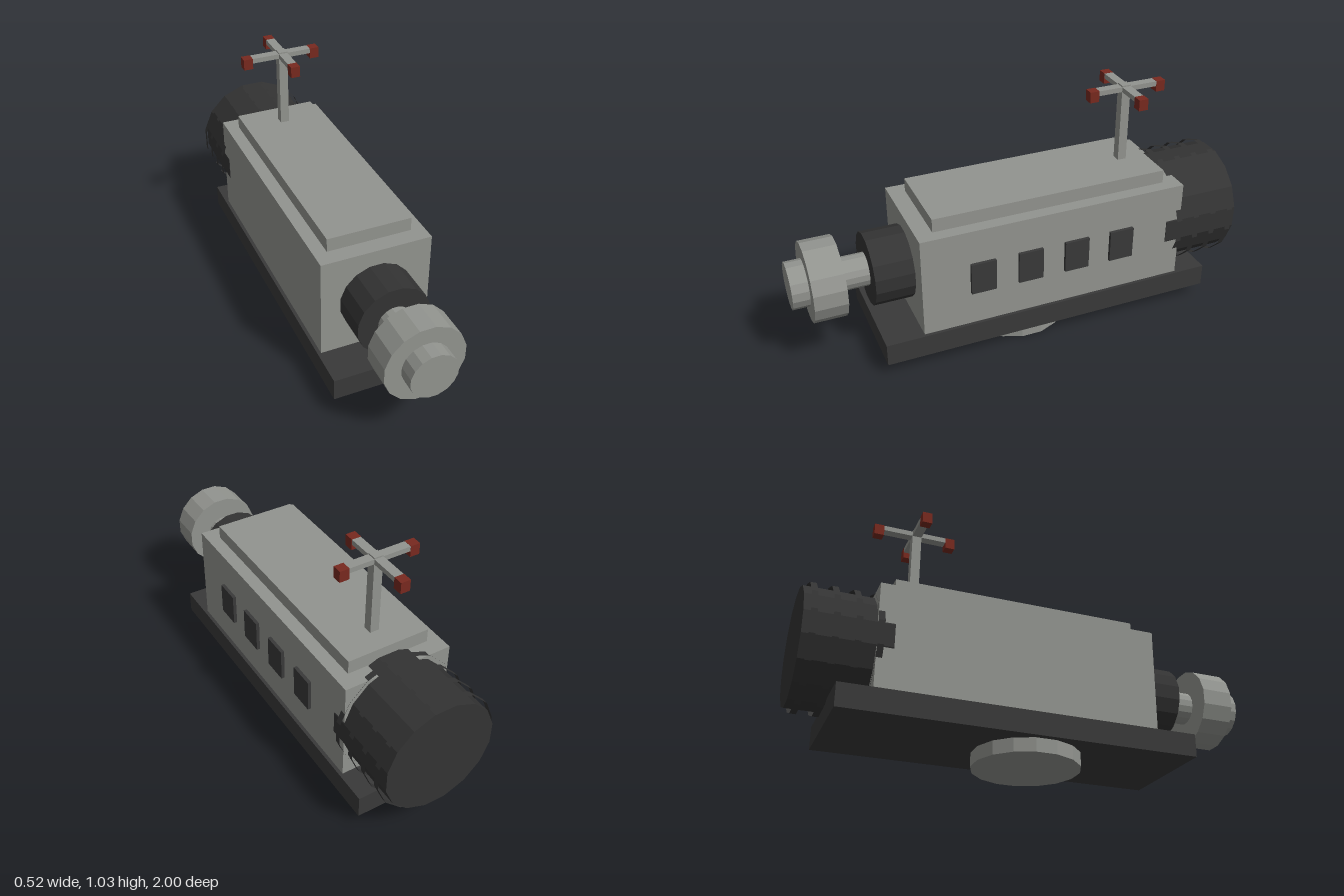
import * as THREE from 'three';

export function createModel() {
  const model = new THREE.Group();
  const paint = (name, color, side = THREE.FrontSide) => {
    const m = new THREE.MeshStandardMaterial({ color, side, flatShading: true });
    m.name = name;
    return m;
  };
  const grey = paint('hull grey', 0x92948f);
  const dark = paint('dark grey', 0x393939);
  const black = paint('charcoal', 0x333333, THREE.DoubleSide);
  const red = paint('dull red', 0x78291f);

  // Box given by its limits on each axis
  const box = (name, mat, [x0, x1], [y0, y1], [z0, z1]) => {
    const mesh = new THREE.Mesh(new THREE.BoxGeometry(x1 - x0, y1 - y0, z1 - z0), mat);
    mesh.position.set((x0 + x1) / 2, (y0 + y1) / 2, (z0 + z1) / 2);
    mesh.name = name;
    model.add(mesh);
  };

  // 16-sided drum with flats facing the axes; r is measured to the flats
  const SIDES = 16;
  const drumGeometry = (r, length, open) => {
    const R = r / Math.cos(Math.PI / SIDES);
    return new THREE.CylinderGeometry(R, R, length, SIDES, 1, open).rotateY(Math.PI / SIDES);
  };
  const drum = (name, mat, r, y, z0, z1, open = false) => {
    const mesh = new THREE.Mesh(drumGeometry(r, z1 - z0, open).rotateX(Math.PI / 2), mat);
    mesh.position.set(0, y, (z0 + z1) / 2);
    mesh.name = name;
    model.add(mesh);
  };

  // Foot, base plate, hull and roof
  const foot = new THREE.Mesh(drumGeometry(0.228, 0.06, false), grey);
  foot.position.y = 0.03;
  foot.name = 'foot';
  model.add(foot);
  box('basePlate', dark, [-0.257, 0.257], [0.06, 0.16], [-0.855, 0.67]);
  box('hull', grey, [-0.242, 0.242], [0.16, 0.615], [-0.712, 0.5]);
  box('roofPlate', grey, [-0.185, 0.185], [0.615, 0.675], [-0.64, 0.427]);

  // Windows on the left side only
  for (let i = 0; i < 4; i++) {
    const z = 0.233 - i * 0.215;
    box('window', dark, [0.24, 0.257], [0.317, 0.461], [z - 0.056, z + 0.056]);
  }

  // Nose: collar, neck, wheel and tip
  drum('noseCollar', black, 0.157, 0.388, 0.5, 0.67);
  drum('noseNeck', grey, 0.071, 0.388, 0.67, 0.79);
  drum('noseWheel', grey, 0.171, 0.388, 0.788, 0.928);
  drum('noseTip', grey, 0.1, 0.388, 0.928, 1.0);

  // Rear engine with thin open bands around it
  drum('engine', black, 0.244, 0.39, -1.0, -0.642);
  for (let i = 0; i < 4; i++) {
    const z = -0.7 - i * 0.087;
    drum('engineBand', black, 0.262, 0.39, z - 0.013, z + 0.013, true);
  }

  // Mast with a cross of two arms and a red block on each end
  const mz = -0.522;
  box('mast', grey, [-0.02, 0.02], [0.67, 1.03], [mz - 0.02, mz + 0.02]);
  box('crossArm', grey, [-0.165, 0.165], [1.002, 1.024], [mz - 0.02, mz + 0.02]);
  box('longArm', grey, [-0.02, 0.02], [1.002, 1.024], [mz - 0.15, mz + 0.148]);
  for (const [x, z] of [[-0.165, mz], [0.15, mz], [0, -0.69], [0, -0.371]]) {
    box('armBlock', red, [x - 0.021, x + 0.021], [0.976, 1.025], [z - 0.021, z + 0.021]);
  }

  return model;
}
